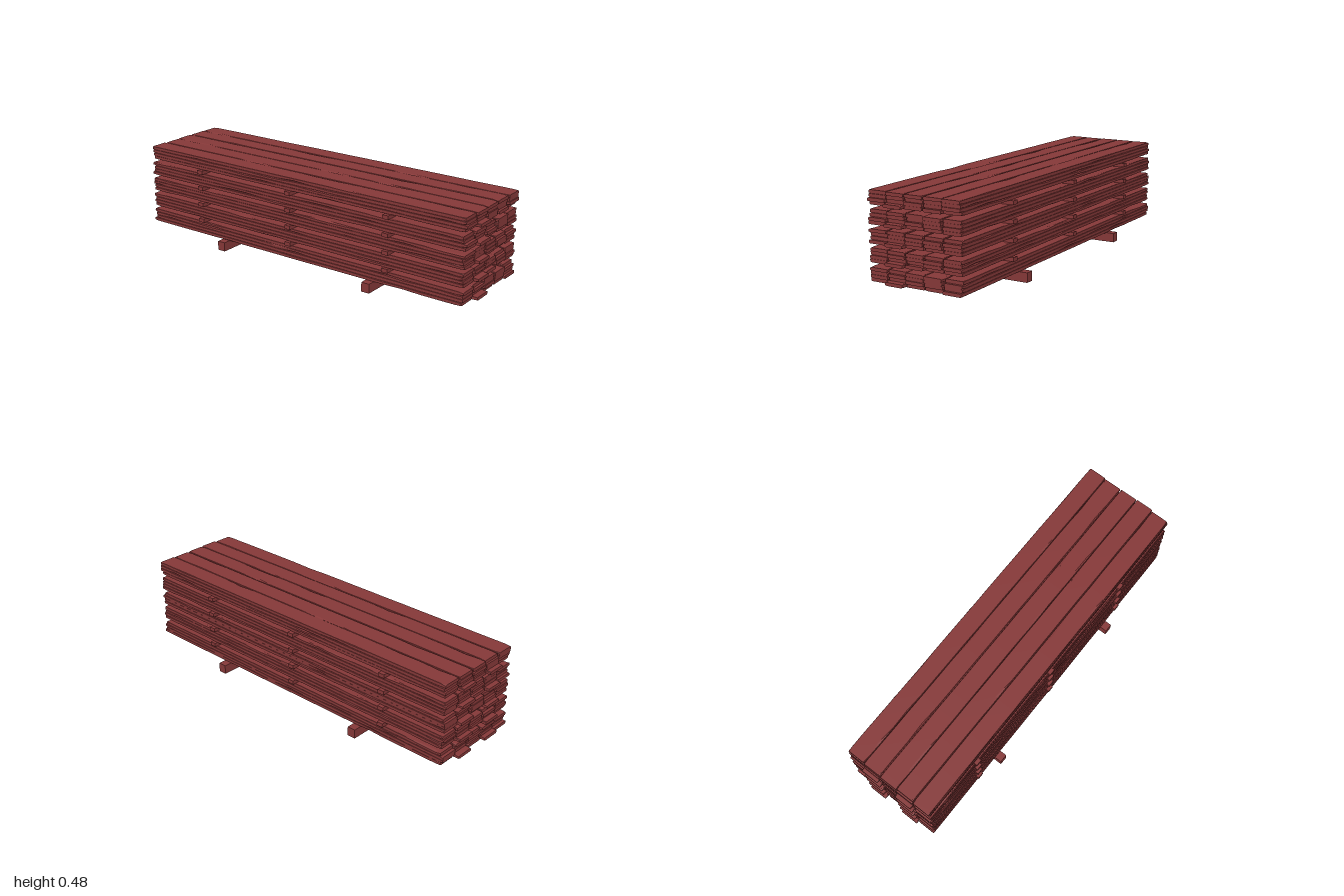
import * as THREE from 'three';

// small seeded generator
function makeRandom(seed) {
  return () => {
    seed = (seed * 1664525 + 1013904223) % 4294967296;
    return seed / 4294967296;
  };
}

// Rough-sawn board: eight-sided sections along z, with chipped corners.
function boardGeometry(width, height, back, front, rand) {
  const stations = 20, sides = 8;
  const positions = [], index = [];
  const hw = width / 2, hh = height / 2;
  for (let i = 0; i <= stations; i++) {
    const atEnd = i === 0 || i === stations;
    // the first and last steps are short, so the ends look broken off
    let t = (i - 1) / (stations - 2);
    if (i === 1) t = 0.015;
    if (i === stations - 1) t = 0.985;
    t = Math.min(1, Math.max(0, t));
    const z = back + (front - back) * t;
    const cut = [0, 1, 2, 3].map(() => {
      if (atEnd) return [0.002 + rand() * 0.008, 0.001 + rand() * 0.004];
      if (rand() < 0.12) return [0.003 + rand() * 0.009, 0.002 + rand() * 0.004];
      return [0.0008, 0.0008];
    });
    const l = -hw + rand() * 0.0012, r = hw - rand() * 0.0012;
    const [a, b, c, d] = cut; // bottom right, top right, top left, bottom left
    const section = [
      [r - a[0], -hh], [r, -hh + a[1]], [r, hh - b[1]], [r - b[0], hh],
      [l + c[0], hh], [l, hh - c[1]], [l, -hh + d[1]], [l + d[0], -hh],
    ];
    for (const [x, y] of section) positions.push(x, y, z);
  }
  for (let i = 0; i < stations; i++) {
    for (let j = 0; j < sides; j++) {
      const k = (j + 1) % sides;
      const p = i * sides + j, q = i * sides + k;
      index.push(p, q, q + sides, p, q + sides, p + sides);
    }
  }
  const last = stations * sides;
  for (let j = 1; j < sides - 1; j++) {
    index.push(last, last + j, last + j + 1);
    index.push(0, j + 1, j);
  }
  const indexed = new THREE.BufferGeometry();
  indexed.setAttribute('position', new THREE.Float32BufferAttribute(positions, 3));
  indexed.setIndex(index);
  const geometry = indexed.toNonIndexed(); // separate faces for crisp edges
  geometry.computeVertexNormals();
  return geometry;
}

export function createModel() {
  const group = new THREE.Group();
  group.name = 'lumberStack';
  const redWood = new THREE.MeshStandardMaterial({ color: 0x853838 });
  redWood.name = 'redWood';
  const rand = makeRandom(41);

  const addBox = (name, w, h, d, x, y, z) => {
    const mesh = new THREE.Mesh(new THREE.BoxGeometry(w, h, d), redWood);
    mesh.name = name;
    mesh.position.set(x, y, z);
    group.add(mesh);
  };

  // two bearers on the ground
  for (const z of [0.465, -0.46]) addBox('bearer', 0.584, 0.049, 0.045, 0, 0.0245, z);

  // five bundles, each four boards high and five wide
  const bundleBases = [0.049, 0.14, 0.23, 0.32, 0.41];
  const columns = [-0.204, -0.104, -0.002, 0.1, 0.203];
  const pitch = 0.0175;
  bundleBases.forEach((base, b) => {
    const bundle = new THREE.Group();
    bundle.name = 'boardBundle';
    group.add(bundle);
    for (let row = 0; row < 4; row++) {
      columns.forEach((x, c) => {
        const longest = row === 0 && (c === 1 || c === 3);
        const front = longest && c === 1 ? 1 : 0.965 + rand() * 0.02;
        const back = longest ? -1 : -0.965 - rand() * 0.02;
        const board = new THREE.Mesh(boardGeometry(0.098, 0.0166, back, front, rand), redWood);
        board.name = 'board';
        board.position.set(x + (rand() - 0.5) * 0.004, base + pitch * (row + 0.5), 0);
        bundle.add(board);
      });
    }
    // spacer strips under every bundle but the lowest
    if (b > 0) {
      for (const z of [0.557, -0.03, -0.618]) {
        addBox('spacerStrip', 0.54, 0.02, 0.034, 0, base - 0.01, z);
      }
    }
  });

  return group;
}
